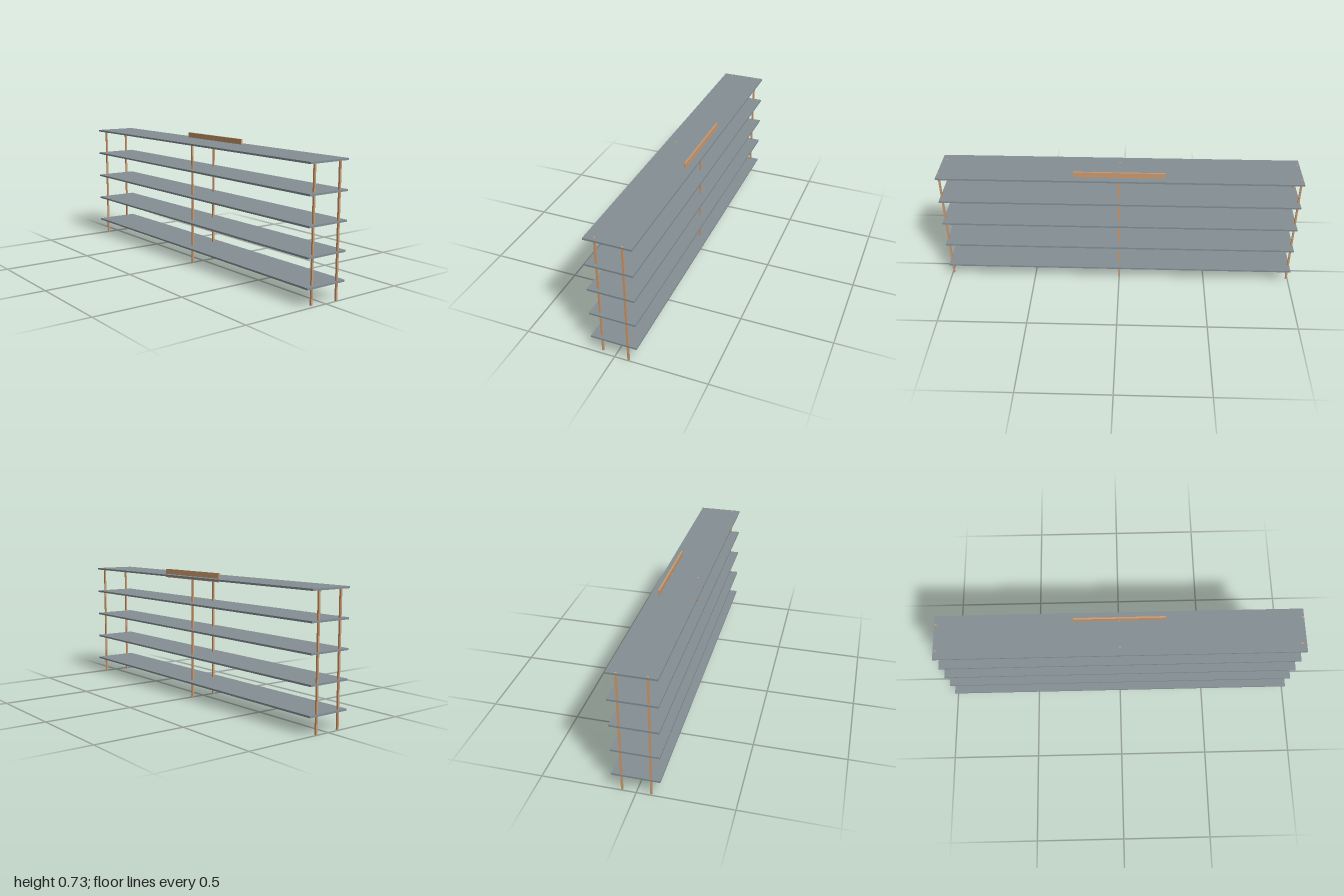
import * as THREE from 'three';

export function createModel() {
  const model = new THREE.Group();
  model.name = 'shelvingUnit';
  const wood = new THREE.MeshStandardMaterial({ color: 0xcd9a6e });
  const slate = new THREE.MeshStandardMaterial({ color: 0x848f94 });

  const addBox = (name, material, [w, h, d], [x, y, z]) => {
    const mesh = new THREE.Mesh(new THREE.BoxGeometry(w, h, d), material);
    mesh.name = name;
    mesh.position.set(x, y, z);
    model.add(mesh);
    return mesh;
  };

  // Five long, thin shelves at equal spacing
  const thickness = 0.01;
  for (let i = 0; i < 5; i++) {
    const top = 0.1 + 0.15 * i;
    addBox(`shelf${i + 1}`, slate, [0.25, thickness, 2], [0, top - thickness / 2, 0]);
  }

  // Slim square posts through all the shelves, slightly uneven at the ends
  const postHeight = 0.7005;
  const posts = {
    left: { x: 0.075, zs: [-0.992, 0, 0.993] },
    right: { x: -0.075, zs: [-0.988, 0, 0.975] },
  };
  for (const [side, { x, zs }] of Object.entries(posts)) {
    zs.forEach((z, i) => {
      const place = ['Back', 'Middle', 'Front'][i];
      addBox(`${side}${place}Post`, wood, [0.01, postHeight, 0.01], [x, postHeight / 2, z]);
    });
  }

  // Low board set into the top shelf, leaning slightly inwards
  const board = addBox('topBoard', wood, [0.009, 0.049, 0.5], [0.081, 0.705, 0]);
  board.rotation.z = 0.04;

  return model;
}
